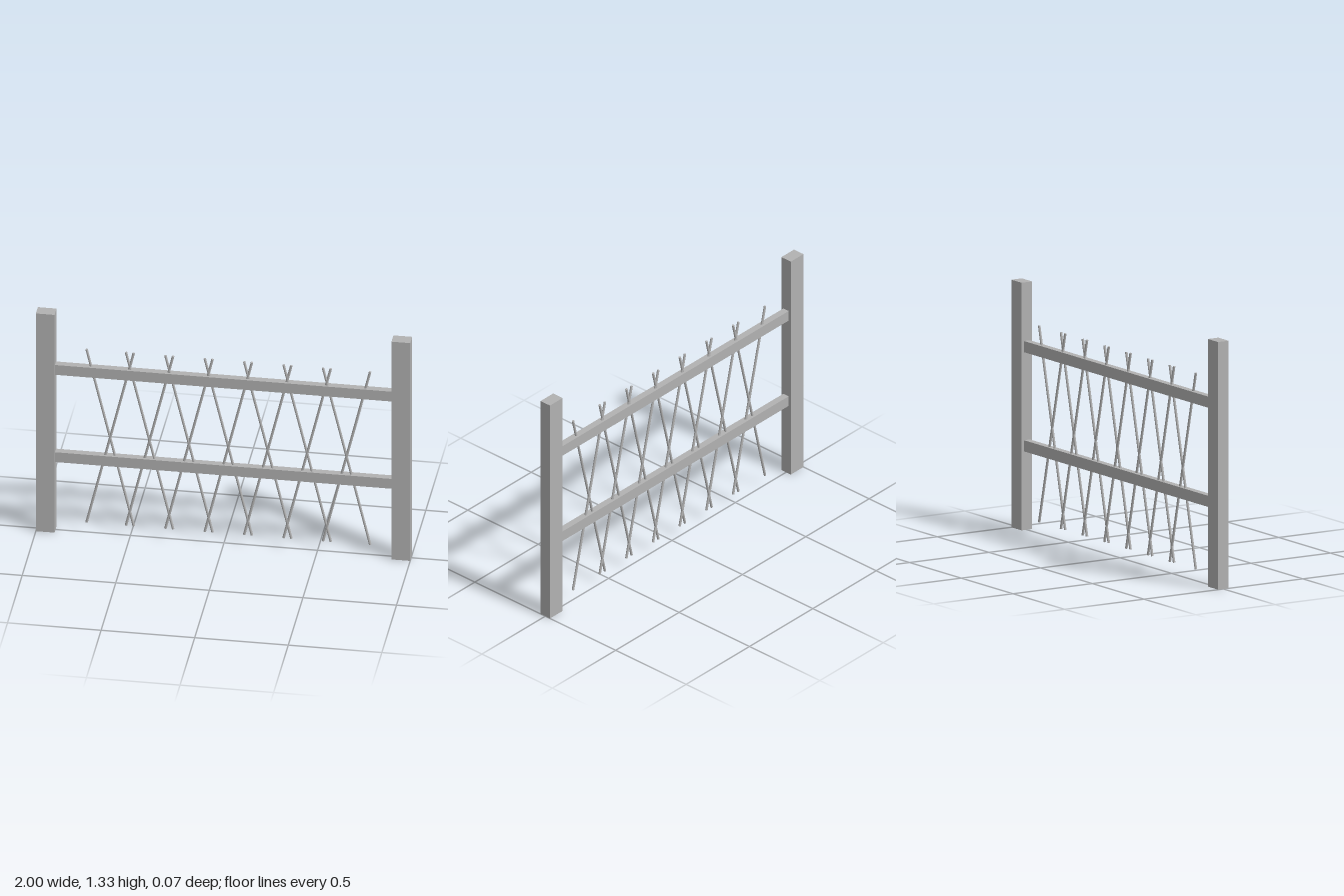
import * as THREE from 'three';

export function createModel() {
  const model = new THREE.Group();
  model.name = 'fence';
  const grey = new THREE.MeshStandardMaterial({ color: 0xb2b2b2 });
  grey.name = 'grey';

  const add = (name, geometry, x, y, tilt = 0) => {
    const mesh = new THREE.Mesh(geometry, grey);
    mesh.name = name;
    mesh.position.set(x, y, 0);
    mesh.rotation.z = tilt;
    model.add(mesh);
  };

  // Square-cut end posts
  const post = new THREE.BoxGeometry(0.1, 1.333, 0.067);
  add('leftPost', post, 0.95, 0.6665);
  add('rightPost', post, -0.95, 0.6665);

  // Horizontal rails between the posts
  const rail = new THREE.BoxGeometry(1.8, 0.06, 0.038);
  add('upperRail', rail, 0, 0.988);
  add('lowerRail', rail, 0, 0.454);

  // Crossed thin rods passing through the rails
  const rod = new THREE.CylinderGeometry(0.0068, 0.0068, 1.087, 12);
  const tilt = 0.234;
  for (let i = 0; i < 7; i++) {
    const x = -0.608 + i * 0.2105;
    add('rodLeaningRight', rod, x, 0.59, tilt);
    add('rodLeaningLeft', rod, x, 0.59, -tilt);
  }
  return model;
}
